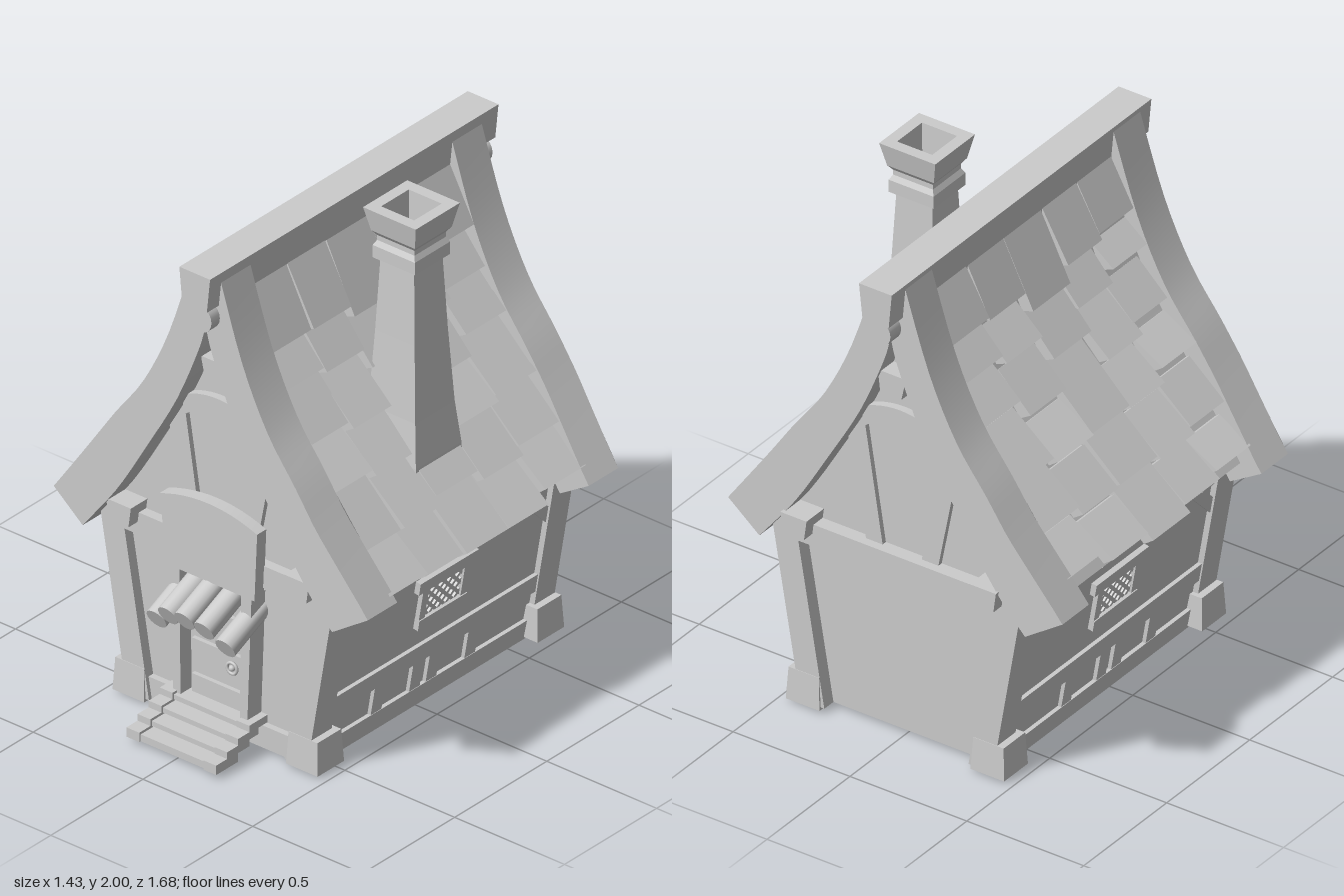
import * as THREE from 'three';
import { toCreasedNormals } from 'three/addons/utils/BufferGeometryUtils.js';

const mat = new THREE.MeshStandardMaterial({ color: 0xcccccc });
const flat = new THREE.MeshStandardMaterial({ color: 0xcccccc, flatShading: true });
const LEAN = 0.17; // outward lean of the side walls

// Right half of the roof profile, ridge to eave: top edge and underside
const smooth = (pts) => new THREE.SplineCurve(pts.map((p) => new THREE.Vector2(...p))).getPoints(20);
const outer = smooth([[0.06, 1.92], [0.165, 1.6], [0.28, 1.36], [0.41, 1.18], [0.52, 1.02], [0.715, 0.75]]);
const inner = smooth([[0, 1.69], [0.03, 1.58], [0.13, 1.34], [0.265, 1.1], [0.41, 0.86], [0.568, 0.655]]);
const between = (t) => outer.map((p, i) => p.clone().lerp(inner[i], t));

export function createModel() {
  const house = new THREE.Group();
  house.name = 'cottage';

  const add = (name, geo, material = flat, parent = house) => {
    const m = new THREE.Mesh(geo, material);
    m.name = name;
    parent.add(m);
    return m;
  };
  const block = (name, x0, x1, y0, y1, z0, z1, parent) => add(name,
    new THREE.BoxGeometry(x1 - x0, y1 - y0, z1 - z0).translate((x0 + x1) / 2, (y0 + y1) / 2, (z0 + z1) / 2), flat, parent);
  // Block on side s that leans with the wall; x measured at ground level
  const leaning = (name, s, x0, x1, y0, y1, z0, z1) => {
    const m = block(name, s > 0 ? x0 : -x1, s > 0 ? x1 : -x0, y0, y1, z0, z1);
    const p = m.geometry.attributes.position;
    for (let i = 0; i < p.count; i++) p.setX(i, p.getX(i) + s * LEAN * p.getY(i));
  };
  // Outline in the xy plane, extruded from z0 to z1
  const slab = (name, pts, z0, z1, material = flat) => {
    const shape = new THREE.Shape(pts.map((p) => (p.isVector2 ? p : new THREE.Vector2(...p))));
    const g = new THREE.ExtrudeGeometry(shape, { depth: z1 - z0, bevelEnabled: false }).translate(0, 0, z0);
    return add(name, material === mat ? toCreasedNormals(g, 0.5) : g, material);
  };
  const mirror = (pts, s) => pts.map((p) => new THREE.Vector2(p.x * s, p.y));

  // Ridge beam, wider at the top, and the round pole below it
  const ridge = block('ridgeBeam', -0.065, 0.075, 1.79, 1.93, -0.84, 0.725).geometry.attributes.position;
  for (let i = 0; i < ridge.count; i++) if (ridge.getY(i) < 1.85) ridge.setX(i, ridge.getX(i) * 0.8);
  add('ridgePole', toCreasedNormals(new THREE.CylinderGeometry(0.055, 0.055, 1.525, 20)
    .rotateX(Math.PI / 2).translate(0.01, 1.74, -0.057), 0.6), mat);

  // Shingle columns: z range, lower edges from the ridge down, and how much higher they sit on the -x slope
  const columns = [
    [0.5, 0.29, [1.54, 1.41, 1.23, 1.08, 0.89, 0.745], 0.06],
    [0.29, 0.08, [1.54, 1.39, 1.21, 1.06, 0.89, 0.74], 0.04],
    [0.08, -0.15, [1.5, 1.33, 1.09, 0.92, 0.735], 0.02],
    [-0.15, -0.37, [1.54, 1.39, 1.21, 1.06, 0.89, 0.735], 0.045],
    [-0.37, -0.595, [1.56, 1.42, 1.27, 1.08, 0.92, 0.775], 0.04],
  ];
  const roofAt = (y) => {
    let i = outer.findIndex((p) => p.y <= y);
    if (i < 1) i = outer.length - 1;
    const a = outer[i - 1], b = outer[i];
    return a.clone().lerp(b, (a.y - y) / (a.y - b.y));
  };

  for (const s of [1, -1]) {
    // Curved bargeboards whose ends are skewed towards the middle of the roof
    for (const [z0, z1] of [[0.5, 0.66], [-0.755, -0.595]]) {
      const board = slab('bargeboard', mirror([...outer, ...[...inner].reverse()], s), z0, z1, mat);
      const p = board.geometry.attributes.position;
      for (let i = 0; i < p.count; i++) {
        const k = THREE.MathUtils.clamp((Math.abs(p.getX(i)) - 0.5) / 0.2, 0, 1);
        p.setZ(i, p.getZ(i) - Math.sign(z0) * 0.028 * k);
      }
    }
    // Roof deck
    slab('roofDeck', mirror([...between(0.45), ...between(0.6).reverse()].filter((p) => p.y > 0.74), s), -0.6, 0.51, mat);

    // Overlapping shingles, sunk at the top and proud at the lower edge
    columns.forEach(([zFront, zBack, edges, raise], c) => edges.forEach((edge, r) => {
      const top = roofAt(r ? edges[r - 1] + 0.06 : 1.84);
      const low = roofAt(edge + 0.03 + (s < 0 ? raise : 0));
      const d = low.clone().sub(top).normalize();
      const n = new THREE.Vector2(-d.y, d.x);
      const at = (p, k) => p.clone().addScaledVector(n, k);
      const nudge = 0.006 * Math.sin(c * 3 + r * 2.3);
      const lift = -0.004 + 0.008 * Math.sin(c * 1.7 + r * 2.9);
      slab('shingle', mirror([at(top, r ? -0.06 : -0.045), at(low, lift), at(low, lift - 0.05), at(top, -0.09)], s),
        zBack + 0.003 + nudge, zFront - 0.003 + nudge);
    }));

    // Side wall with its timber frame
    leaning('sideWall', s, 0.365, 0.385, 0.02, 0.76, -0.66, 0.55);
    leaning('sillBeam', s, 0.36, 0.402, 0, 0.08, -0.62, 0.5);
    leaning('middleRail', s, 0.355, 0.402, 0.195, 0.27, -0.62, 0.5);
    leaning('topPlate', s, 0.345, 0.402, 0.695, 0.76, -0.62, 0.5);
    for (const z of [0.228, 0.02, -0.07, -0.28]) leaning('sideStud', s, 0.355, 0.4, 0.08, 0.195, z - 0.029, z + 0.029);
    for (const z of [0.36, 0.16, -0.04, -0.24, -0.44]) leaning('rafterTail', s, 0.36, 0.45, 0.695, 0.76, z - 0.037, z + 0.037);
    for (const [z, dir] of [[0.5, -1], [-0.62, 1]]) {
      const brace = add('cornerBrace', new THREE.BoxGeometry(0.03, 0.05, 0.3));
      brace.position.set(s * (0.385 + LEAN * 0.6), 0.605, z + dir * 0.085);
      brace.rotation.set(-dir * 0.78, 0, -s * LEAN, 'ZXY');
    }

    // Corner posts, feet, tie beam ends and gable braces, front and back
    for (const [z0, z1, face, dir] of [[0.49, 0.6, 0.55, 1], [-0.72, -0.61, -0.655, -1]]) {
      leaning('cornerPost', s, 0.305, 0.408, 0.02, 0.74, z0, z1);
      const mid = (z0 + z1) / 2;
      add('postFoot', new THREE.CylinderGeometry(0.065 * Math.SQRT2, 0.072 * Math.SQRT2, 0.13, 4)
        .rotateY(Math.PI / 4).translate(s * 0.395, 0.075, mid - dir * 0.008));
      slab('tieBeamEnd', [[-0.056, 0.805], [0.056, 0.805], [0.045, 0.725], [-0.045, 0.725]],
        dir > 0 ? 0.49 : -0.77, dir > 0 ? 0.65 : -0.61).position.x = s * 0.405;
      slab('gableBrace', mirror([[0.08, 0.74], [0.15, 0.74], [0.235, 1.18], [0.17, 1.31]].map((p) => new THREE.Vector2(...p)), s),
        face - 0.03, face + 0.03);
    }

    // Lattice window: local z points out of the wall
    const win = new THREE.Group();
    win.name = 'latticeWindow';
    win.position.set(s * (0.385 + LEAN * 0.46), 0.46, -0.065);
    win.rotation.set(LEAN, s * Math.PI / 2, 0, 'YXZ');
    house.add(win);
    block('windowLintel', -0.158, 0.158, 0.065, 0.115, -0.03, 0.022, win);
    block('windowSill', -0.13, 0.13, -0.105, -0.062, -0.03, 0.022, win);
    for (const k of [1, -1]) block('windowJamb', k * 0.113 - 0.016, k * 0.113 + 0.016, -0.07, 0.07, -0.03, 0.018, win);
    for (const k of [1, -1]) for (let c = -0.135; c < 0.14; c += 0.045) {
      const u0 = Math.max(-0.1, c - 0.063), u1 = Math.min(0.1, c + 0.063);
      const bar = add('windowLattice', new THREE.BoxGeometry((u1 - u0) * Math.SQRT2, 0.014, 0.012), flat, win);
      bar.position.set((u0 + u1) / 2, k * ((u0 + u1) / 2 - c), 0.004);
      bar.rotation.z = k * Math.PI / 4;
    }

    // Door frame
    slab('doorJamb', mirror([[0.135, 0.1], [0.168, 0.1], [0.188, 0.64], [0.14, 0.64]].map((p) => new THREE.Vector2(...p)), s), 0.54, 0.635);
  }

  // Front and back walls with gables, tie beams and arched collars
  const edge = between(0.6).filter((p) => p.y > 0.9);
  const half = [...edge, new THREE.Vector2(0.49, 0.72), new THREE.Vector2(0.375, 0.02)];
  const wall = [...half, ...mirror(half, -1).reverse()];
  const arch = (w, y, rise) => Array.from({ length: 13 }, (_, i) => {
    const t = i / 6 - 1;
    return [w * t, y + rise * (1 - t * t)];
  });
  for (const [f, z0, z1] of [[0.55, 0.52, 0.6], [-0.655, -0.72, -0.63]]) {
    slab(f > 0 ? 'frontWall' : 'backWall', wall, f - 0.01, f + 0.01);
    block('tieBeam', -0.5, 0.5, 0.675, 0.765, z0, z1);
    slab('archedCollar', [...arch(0.175, 1.31, 0.045), ...arch(0.15, 1.24, 0.06).reverse()], f - 0.04, f + 0.04, mat);
    slab('gableKeyBlock', [[-0.055, 1.525], [-0.035, 1.435], [0.055, 1.435], [0.065, 1.525]], z0 - 0.02, z1 + 0.02);
  }
  block('frontSill', -0.35, 0.35, 0.015, 0.105, 0.53, 0.585);

  // Blank arched board above the door
  slab('doorBoard', [[-0.19, 0.64], [0.21, 0.64], ...arch(0.222, 0.915, 0.042).reverse()], 0.595, 0.645, mat);

  // Door of stacked planks with a ring handle
  block('door', -0.15, 0.15, 0.1, 0.6, 0.54, 0.575);
  for (const [y0, y1] of [[0.12, 0.2], [0.245, 0.345], [0.39, 0.49]]) block('doorPlank', -0.12, 0.12, y0, y1, 0.57, 0.592);
  add('doorRing', new THREE.TorusGeometry(0.022, 0.006, 8, 20).translate(0.07, 0.295, 0.6), mat);
  add('doorKnob', new THREE.SphereGeometry(0.012, 12, 8).translate(0.07, 0.295, 0.6), mat);

  // Awning of five sloping logs
  [[-0.155, 0.473, 0.742], [-0.083, 0.525, 0.766], [-0.002, 0.537, 0.773], [0.08, 0.525, 0.766], [0.158, 0.473, 0.742]].forEach(([x, y, z]) => {
    const log = add('awningLog', toCreasedNormals(new THREE.CylinderGeometry(0.043, 0.043, 0.24, 14)
      .rotateX(Math.PI / 2).translate(0, 0, -0.12), 0.6), mat);
    log.position.set(x, y, z);
    log.rotation.x = 0.43;
  });

  // Front steps: treads between slightly higher stepped cheeks
  [[0.02, 0.058, 0.72, 0.84], [0.055, 0.085, 0.66, 0.78], [0.082, 0.112, 0.61, 0.72], [0.108, 0.138, 0.55, 0.66]].forEach(([y0, y1, z0, z1]) => {
    block('tread', -0.155, 0.145, y0, y1 - 0.01, z0, z1 - 0.008);
    for (const x of [-0.18, 0.17]) block('stairCheek', x - 0.029, x + 0.029, y0, y1, z0, z1);
  });

  // Square chimney with an open flared cap
  const flue = [[0.127, 0.93], [0.124, 1.03], [0.107, 1.2], [0.09, 1.5], [0.077, 1.79], [0.096, 1.795], [0.096, 1.845], [0.085, 1.865],
    [0.085, 1.885], [0.1, 1.905], [0.12, 2], [0.075, 2], [0.07, 1.86], [0, 1.86]];
  add('chimney', new THREE.LatheGeometry(flue.map(([h, y]) => new THREE.Vector2(h * Math.SQRT2, y)), 4, Math.PI / 4)
    .translate(0.36, 0, -0.028));

  return house;
}
